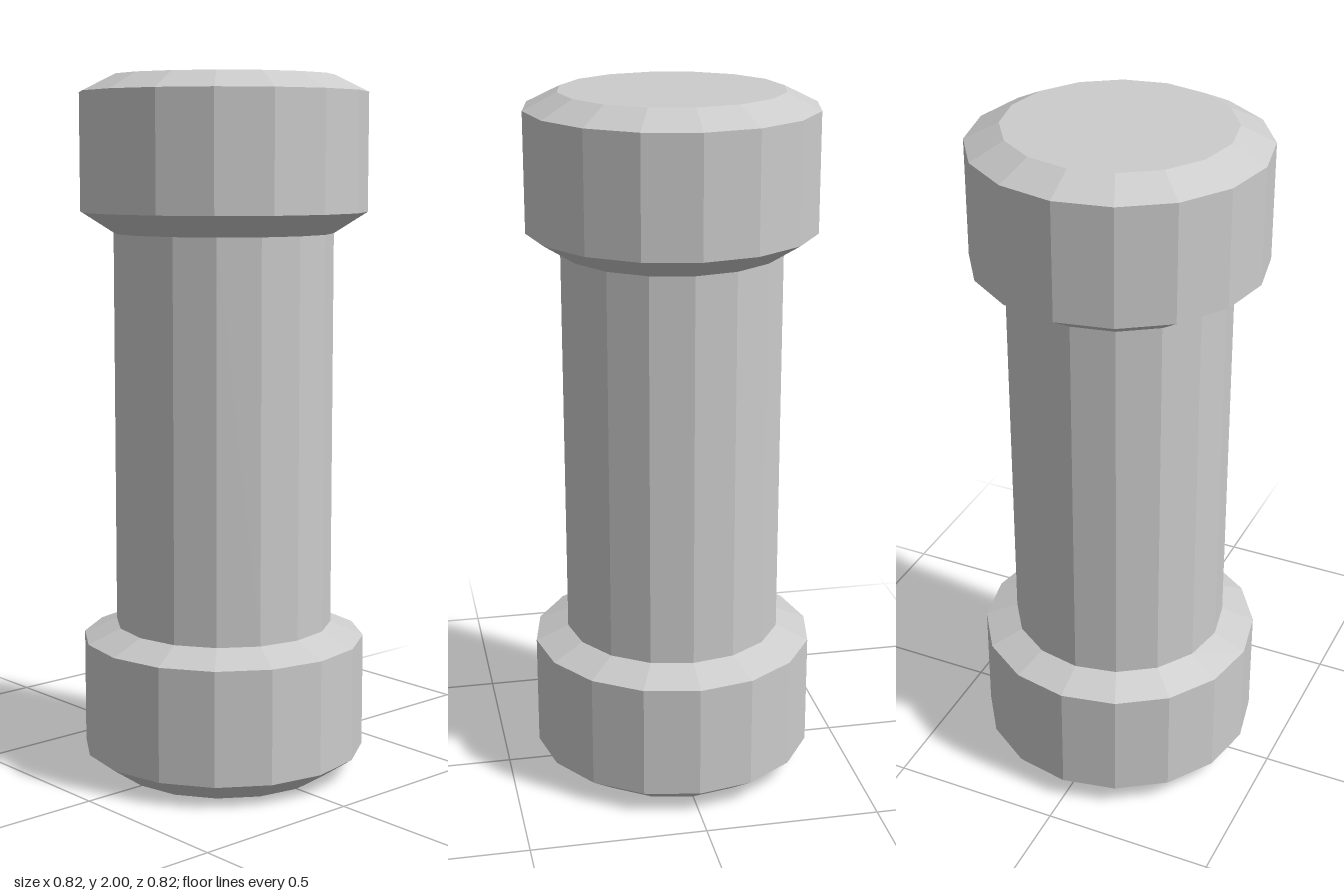
import * as THREE from 'three';

const SIDES = 16;
const SHAFT_R = 0.313;
const HEAD_R = 0.408;

export function createModel() {
  const model = new THREE.Group();
  model.name = 'column';
  const material = new THREE.MeshStandardMaterial({ color: 0xcccccc, flatShading: true });

  // Faceted solid of revolution from [radius, height] pairs, bottom to top
  const addTurned = (name, profile) => {
    const points = profile.map(([r, y]) => new THREE.Vector2(r, y));
    const mesh = new THREE.Mesh(new THREE.LatheGeometry(points, SIDES), material);
    mesh.name = name;
    model.add(mesh);
  };

  // Bevelled base, closed underneath
  addTurned('base', [[0, 0], [SHAFT_R, 0], [HEAD_R, 0.065], [HEAD_R, 0.393], [SHAFT_R, 0.433]]);

  // Straight shaft between the two ends
  addTurned('shaft', [[SHAFT_R, 0.433], [SHAFT_R, 1.56]]);

  // Bevelled capital, closed on top
  addTurned('capital', [[SHAFT_R, 1.56], [HEAD_R, 1.62], [HEAD_R, 1.953], [SHAFT_R, 2], [0, 2]]);

  return model;
}
